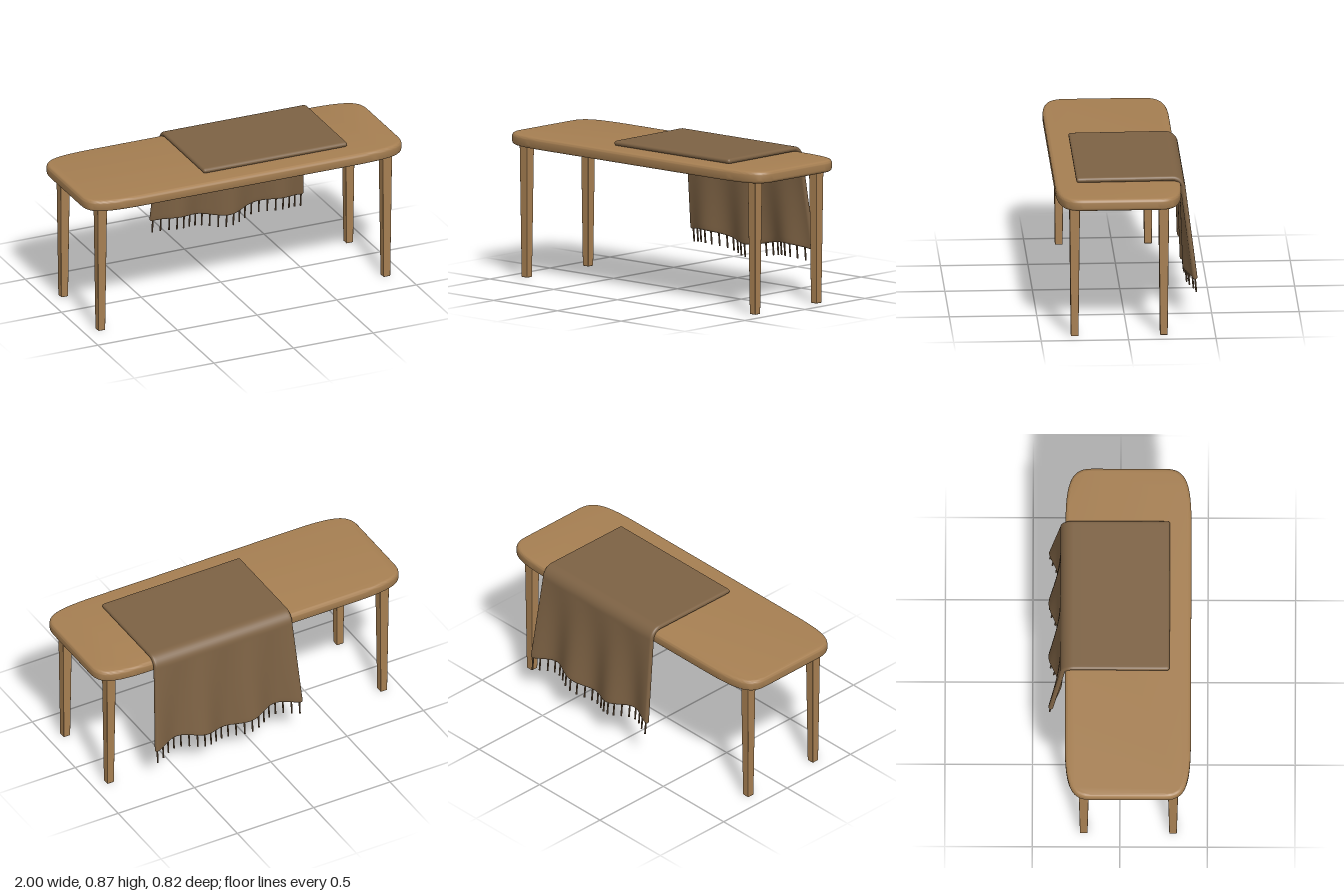
import * as THREE from 'three';
import { toCreasedNormals } from 'three/addons/utils/BufferGeometryUtils.js';
import { RoundedBoxGeometry } from 'three/addons/geometries/RoundedBoxGeometry.js';

const wood = new THREE.MeshStandardMaterial({ name: 'wood', color: 0xa67f52 });
const fabric = new THREE.MeshStandardMaterial({ name: 'fabric', color: 0x7d6244 });
const fringeBrown = new THREE.MeshStandardMaterial({ name: 'fringe brown', color: 0x695139 });

const TOP_Z = 0.045;              // centre of the table top in z
const CLOTH_X = 0.217;            // centre of the cloth in x
const HALF_THICK = 0.0145;

function add(parent, name, geometry, material) {
  const mesh = new THREE.Mesh(geometry, material);
  mesh.name = name;
  parent.add(mesh);
  return mesh;
}

// Slab with long soft corners and a rounded rim
function tableTopGeometry() {
  const w = 1, d = 0.36, rim = 0.02;
  const s = new THREE.Shape();
  s.moveTo(0.65, -d);
  s.bezierCurveTo(0.92, -d, w, -d + 0.03, w, -d + 0.15);
  s.lineTo(w, d - 0.15);
  s.bezierCurveTo(w, d - 0.03, 0.92, d, 0.65, d);
  s.lineTo(-0.65, d);
  s.bezierCurveTo(-0.92, d, -w, d - 0.03, -w, d - 0.15);
  s.lineTo(-w, -d + 0.15);
  s.bezierCurveTo(-w, -d + 0.03, -0.92, -d, -0.65, -d);
  const g = new THREE.ExtrudeGeometry(s, {
    depth: 0.069 - 2 * rim, bevelThickness: rim, bevelSize: rim,
    bevelOffset: -rim, bevelSegments: 5, curveSegments: 20,
  });
  g.rotateX(-Math.PI / 2);
  g.translate(0, 0.768 + rim, TOP_Z);
  return toCreasedNormals(g, 0.7);
}

// Square leg narrowing towards the floor
function legGeometry() {
  const h = 0.78;
  const g = new RoundedBoxGeometry(0.06, h, 0.06, 2, 0.004);
  const p = g.attributes.position;
  for (let i = 0; i < p.count; i++) {
    const k = THREE.MathUtils.lerp(0.72, 1, p.getY(i) / h + 0.5);
    p.setX(i, p.getX(i) * k);
    p.setZ(i, p.getZ(i) * k);
  }
  g.translate(0, h / 2, 0);
  return g;
}

// Centre surface of the cloth: u runs across, s in 0..3 is flat, bend, hang
const hemY = (u) => 0.26 + HALF_THICK + 0.022 * Math.cos(3 * Math.PI * (u - 0.145));
function clothPoint(u, s) {
  const r = 0.061, zBend = -0.268, yTop = 0.852;
  const fold = Math.cos(6 * Math.PI * u);
  let y, z, h = 0;
  if (s <= 1) {
    z = THREE.MathUtils.lerp(0.268, zBend, s);
    y = yTop + 0.003 * s;
  } else if (s <= 2) {
    const a = (s - 1) * Math.PI / 2;
    z = zBend - r * Math.sin(a);
    y = yTop + 0.003 - r + r * Math.cos(a);
  } else {
    h = s - 2;
    y = THREE.MathUtils.lerp(yTop + 0.003 - r, hemY(u), h);
    z = zBend - r - 0.042 * h - 0.025 * h * fold;
  }
  return new THREE.Vector3(CLOTH_X + (u - 0.5) * (0.905 + 0.06 * h), y, z);
}

// Thick sheet made from closed loops, with rounded edges all round
function clothGeometry() {
  const steps = [];
  for (let i = 0; i <= 12; i++) steps.push(i / 12);
  for (let i = 1; i <= 10; i++) steps.push(1 + i / 10);
  for (let i = 1; i <= 20; i++) steps.push(2 + i / 20);

  // Columns: quarter-round thickness at both sides, full in between
  const columns = [], edge = HALF_THICK / 0.905;
  for (let i = 0; i <= 5; i++) {
    const a = (i / 5) * Math.PI / 2;
    columns.push([edge * (1 - Math.cos(a)), Math.sin(a)]);
  }
  for (let i = 1; i < 72; i++) columns.push([edge + (1 - 2 * edge) * i / 72, 1]);
  for (let i = 5; i >= 0; i--) {
    const a = (i / 5) * Math.PI / 2;
    columns.push([1 - edge * (1 - Math.cos(a)), Math.sin(a)]);
  }

  const pos = [], index = [];
  let loop = 0;
  for (const [u, k] of columns) {
    const start = pos.length;
    const t = HALF_THICK * k;
    // Place a point off the centre line at an angle to its direction
    const put = (s, angle) => {
      const c = clothPoint(u, s);
      const dir = clothPoint(u, Math.min(3, s + 0.01)).sub(clothPoint(u, Math.max(0, s - 0.01)));
      dir.x = 0;
      dir.normalize();
      const n = new THREE.Vector3(0, -dir.z, dir.y);
      c.addScaledVector(n, t * Math.cos(angle)).addScaledVector(dir, t * Math.sin(angle));
      pos.push(c.x, c.y, c.z);
    };
    for (const s of steps) put(s, 0);
    for (let i = 1; i < 6; i++) put(3, i * Math.PI / 6);
    for (const s of [...steps].reverse()) put(s, Math.PI);
    for (let i = 1; i < 6; i++) put(0, Math.PI + i * Math.PI / 6);
    loop = (pos.length - start) / 3;
  }
  for (let i = 0; i < columns.length - 1; i++) {
    for (let j = 0; j < loop; j++) {
      const a = i * loop + j, c = i * loop + (j + 1) % loop;
      index.push(a, a + loop, c, a + loop, c + loop, c);
    }
  }
  const g = new THREE.BufferGeometry();
  g.setAttribute('position', new THREE.Float32BufferAttribute(pos, 3));
  g.setIndex(index);
  g.computeVertexNormals();
  return g;
}

export function createModel() {
  const model = new THREE.Group();
  model.name = 'tableWithRunner';

  add(model, 'tableTop', tableTopGeometry(), wood);

  const legs = new THREE.Group();
  legs.name = 'legs';
  model.add(legs);
  const legShape = legGeometry();
  for (const x of [-0.895, 0.895]) {
    for (const z of [0.304, -0.206]) {
      add(legs, z > 0 ? 'frontLeg' : 'backLeg', legShape, wood).position.set(x, 0, z);
    }
  }

  add(model, 'cloth', clothGeometry(), fabric);

  // Tassels hanging along the hem
  const fringe = new THREE.Group();
  fringe.name = 'fringe';
  model.add(fringe);
  const count = 22;
  const tassel = new THREE.CylinderGeometry(0.005, 0.005, 0.09, 8);
  tassel.translate(0, -0.045, 0);
  for (let i = 0; i < count; i++) {
    const m = add(fringe, 'tassel', tassel, fringeBrown);
    m.position.copy(clothPoint(0.02 + 0.965 * i / (count - 1), 3));
    m.rotation.x = 0.09;
  }
  return model;
}
